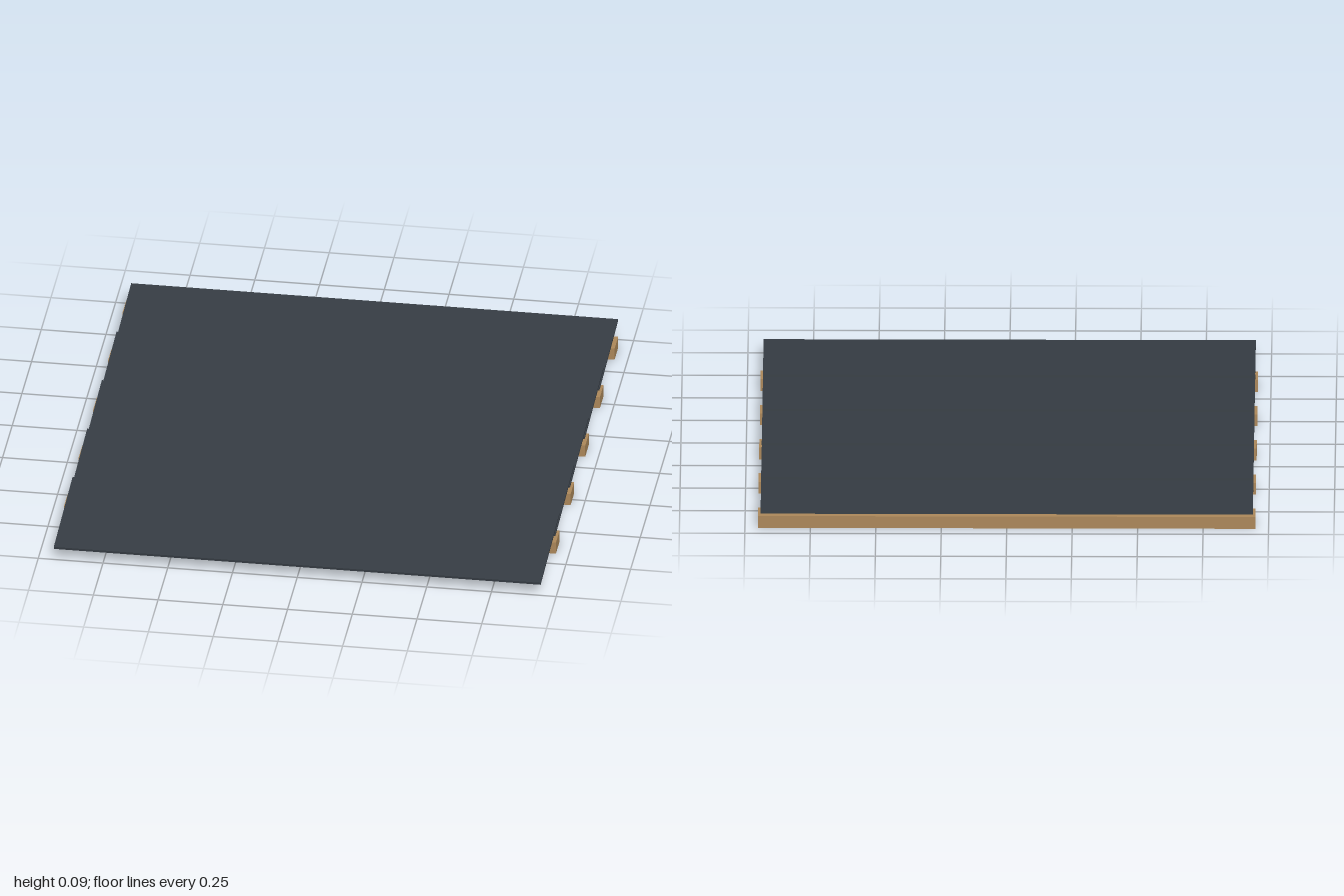
import * as THREE from 'three';

export function createModel() {
  const model = new THREE.Group();
  model.name = 'roofSection';

  const slate = new THREE.MeshStandardMaterial({ color: 0x353c43 });
  slate.name = 'slate grey';
  const wood = new THREE.MeshStandardMaterial({ color: 0xac885a });
  wood.name = 'batten wood';

  const rows = 5;
  const pitch = 0.379;
  const tilt = Math.atan2(0.034, 0.485);
  const panelGeometry = new THREE.BoxGeometry(1.88, 0.009, 0.486);
  const battenGeometry = new THREE.BoxGeometry(1.9, 0.048, 0.095);

  for (let i = 0; i < rows; i++) {
    // Overlapping panel, rising towards the back
    const panel = new THREE.Mesh(panelGeometry, slate);
    panel.name = `panel${i + 1}`;
    panel.position.set(0, 0.068, 0.758 - i * pitch);
    panel.rotation.x = tilt;
    model.add(panel);

    // Batten under the panels
    const batten = new THREE.Mesh(battenGeometry, wood);
    batten.name = `batten${i + 1}`;
    batten.position.set(0, 0.024, 0.625 - i * pitch);
    model.add(batten);
  }
  return model;
}
